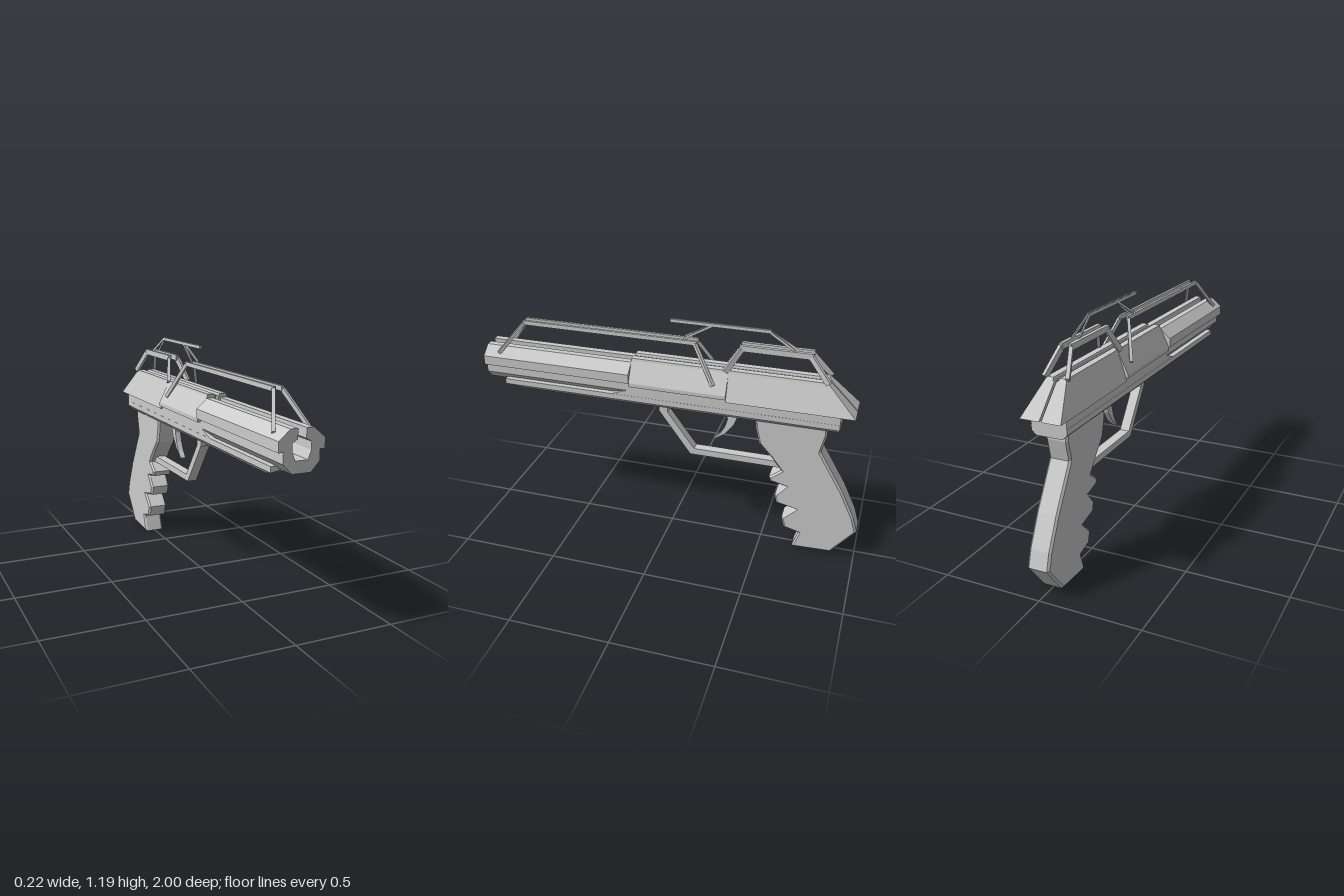
import * as THREE from 'three';

const material = new THREE.MeshStandardMaterial({ color: 0xcccccc, flatShading: true });
const toShape = (pts) => new THREE.Shape(pts.map(([a, b]) => new THREE.Vector2(a, b)));
const mirrored = (pts) => pts.map(([x, y]) => [-x, y]);
const closed = (right) => [...right, ...mirrored(right).reverse()];

export function createModel() {
  const model = new THREE.Group();

  const add = (name, geometry, parent = model) => {
    const mesh = new THREE.Mesh(geometry, material);
    mesh.name = name;
    parent.add(mesh);
    return mesh;
  };

  // Side outline given as (z, y), extruded across x with an optional chamfer
  const sidePlate = (name, pts, width, bevel = 0) => {
    const geo = new THREE.ExtrudeGeometry(toShape(pts), {
      depth: width - 2 * bevel, bevelEnabled: bevel > 0, bevelSize: bevel,
      bevelThickness: bevel, bevelOffset: -bevel, bevelSegments: 1,
    });
    geo.translate(0, 0, bevel - width / 2).rotateY(-Math.PI / 2);
    return add(name, geo);
  };

  // Cross-section given as (x, y), run along z; rule(y, z) may move the ends
  const section = (name, pts, z0, z1, rule) => {
    const geo = new THREE.ExtrudeGeometry(toShape(pts), { depth: z1 - z0, bevelEnabled: false });
    geo.translate(0, 0, z0);
    if (rule) {
      const p = geo.attributes.position;
      for (let i = 0; i < p.count; i++) p.setZ(i, rule(p.getY(i), p.getZ(i)));
      geo.computeVertexNormals();
    }
    return add(name, geo);
  };

  // Square bar between two points
  const beam = (name, a, b, w, h, parent) => {
    const from = new THREE.Vector3(...a), to = new THREE.Vector3(...b);
    const mesh = add(name, new THREE.BoxGeometry(w, h, from.distanceTo(to)), parent);
    mesh.position.copy(from).add(to).multiplyScalar(0.5);
    mesh.lookAt(to);
  };

  // Grip with finger grooves
  sidePlate('grip', [
    [-0.443, 0.74], [-0.45, 0.68], [-0.47, 0.6], [-0.535, 0.53], [-0.59, 0.46], [-0.53, 0.412],
    [-0.54, 0.385], [-0.62, 0.37], [-0.567, 0.31], [-0.577, 0.26], [-0.68, 0.24],
    [-0.61, 0.175], [-0.627, 0.115], [-0.705, 0.095], [-0.675, 0.003], [-0.88, 0.01],
    [-1, 0.16], [-0.975, 0.245], [-0.905, 0.39], [-0.78, 0.6], [-0.803, 0.7], [-0.8, 0.74],
  ], 0.11, 0.01);

  // Trigger guard and trigger
  sidePlate('triggerGuard', [
    [0.065, 0.74], [0.065, 0.69], [-0.105, 0.46], [-0.61, 0.46],
    [-0.57, 0.495], [-0.125, 0.495], [0.02, 0.69], [0.02, 0.74],
  ], 0.05);
  sidePlate('trigger', [
    [-0.288, 0.74], [-0.295, 0.69], [-0.28, 0.64], [-0.255, 0.595], [-0.225, 0.56],
    [-0.285, 0.605], [-0.33, 0.665], [-0.357, 0.74],
  ], 0.03);

  // Lower frame: chamfered rail and the body above it
  section('lowerRail', closed([[0.065, 0.735], [0.088, 0.757], [0.088, 0.785]]), -0.86, 0.9,
    (y, z) => (z > 0 && y < 0.74 ? 0.82 : z));
  sidePlate('frameBody', [
    [0.3, 0.785], [0.2, 0.82], [0.2, 0.845], [-0.86, 0.845], [-0.86, 0.785],
  ], 0.174);

  // Slotted barrel shroud, open along the top
  section('barrel', closed([
    [0.045, 0.77], [0.087, 0.815], [0.087, 0.865], [0.11, 0.865], [0.11, 0.913], [0.055, 0.96],
    [0.02, 0.96], [0.02, 0.915], [0.045, 0.9], [0.045, 0.865], [0.03, 0.825],
  ]), 0.2, 1);

  // Slide halves with a narrow gap between them; the back end slopes
  const top = [[0.053, 0.968], [0.05, 0.98], [0.016, 0.98], [0.012, 0.968], [0.005, 0.968]];
  const front = [[0.005, 0.845], [0.105, 0.845], [0.105, 0.865], ...top];
  const rear = [[0.005, 0.83], [0.1, 0.83], ...top];
  for (const side of [front, mirrored(front)]) section('slideFront', side, -0.3, 0.2);
  for (const side of [rear, mirrored(rear)]) {
    section('slideRear', side, -0.93, -0.3, (y, z) => (z < -0.5 ? -0.93 + (y - 0.83) : z));
  }

  // Paired sight rails: a bar with two splayed legs on each side
  for (const s of [1, -1]) {
    const rails = new THREE.Group();
    rails.name = s > 0 ? 'leftRails' : 'rightRails';
    model.add(rails);

    beam('longRail', [s * 0.02, 1.09, 0.8], [s * 0.02, 1.09, -0.13], 0.014, 0.022, rails);
    beam('longRailFrontLeg', [s * 0.022, 1.088, 0.795], [s * 0.088, 0.932, 0.92], 0.016, 0.018, rails);
    beam('longRailRearLeg', [s * 0.022, 1.088, -0.12], [s * 0.09, 0.905, -0.232], 0.016, 0.018, rails);

    beam('shortRail', [s * 0.022, 1.095, -0.345], [s * 0.022, 1.095, -0.7], 0.018, 0.03, rails);
    beam('shortRailFrontLeg', [s * 0.024, 1.09, -0.355], [s * 0.056, 0.975, -0.285], 0.018, 0.026, rails);
    beam('shortRailRearLeg', [s * 0.024, 1.092, -0.69], [s * 0.056, 0.978, -0.785], 0.018, 0.026, rails);

    beam('upperRail', [s * 0.005, 1.187, 0.01], [s * 0.005, 1.187, -0.49], 0.006, 0.016, rails);
    beam('upperRailFrontLeg', [s * 0.005, 1.183, -0.2], [s * 0.017, 1.105, -0.06], 0.006, 0.012, rails);
    beam('upperRailRearLeg', [s * 0.005, 1.183, -0.485], [s * 0.017, 1.108, -0.61], 0.006, 0.012, rails);
  }

  return model;
}
